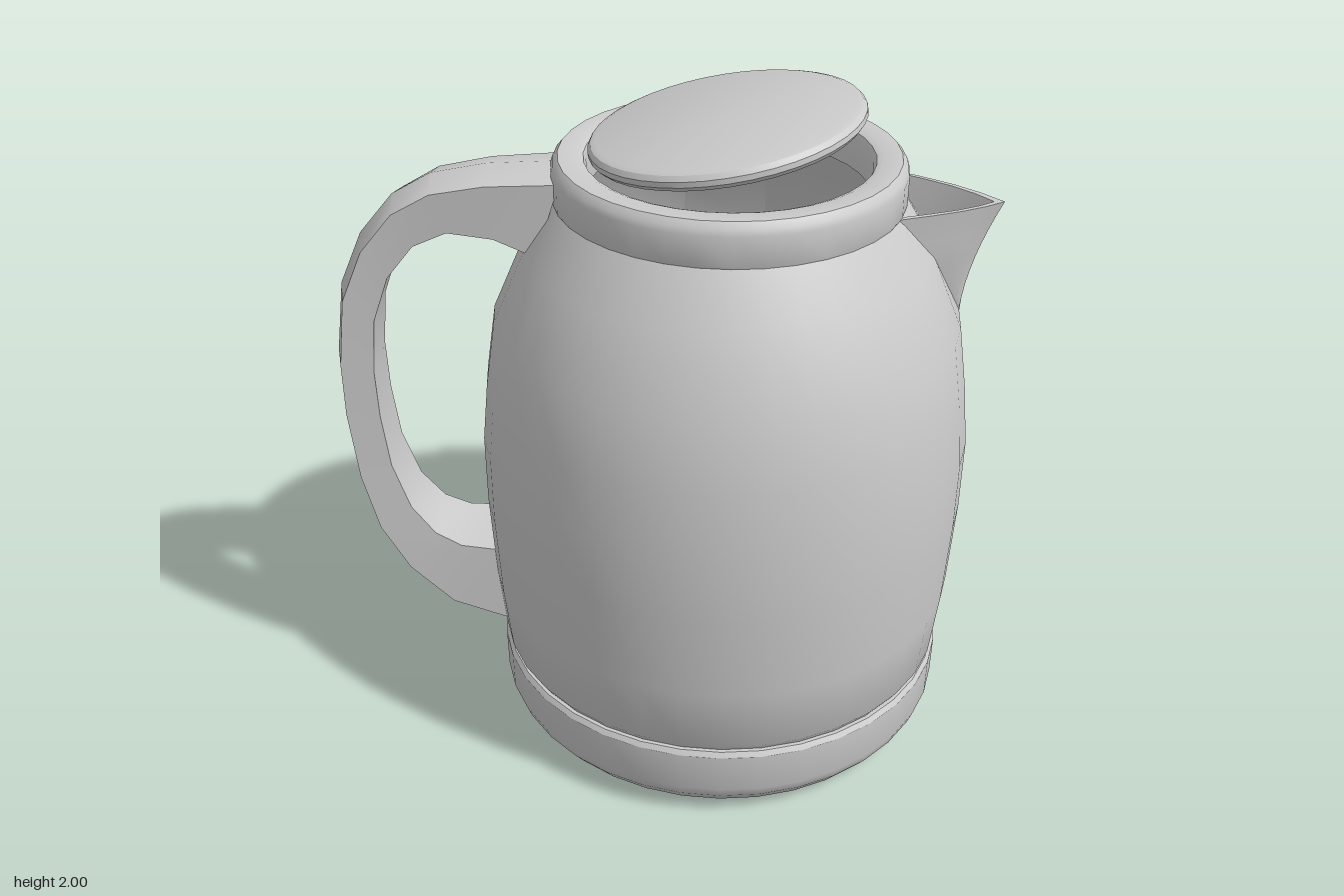
import * as THREE from 'three';
import { toCreasedNormals } from 'three/addons/utils/BufferGeometryUtils.js';

const CX = 0.19, CZ = 0.035; // axis of the kettle
const material = new THREE.MeshStandardMaterial({ color: 0xcccccc });
const doubleSided = new THREE.MeshStandardMaterial({ color: 0xcccccc, side: THREE.DoubleSide });

// outer wall as [radius, height]
const WALL = [[0.67, 0.245], [0.69, 0.275], [0.712, 0.48], [0.727, 0.75], [0.728, 0.97],
  [0.71, 1.15], [0.68, 1.35], [0.585, 1.57], [0.498, 1.71]];

// linear lookup of a value in [value, height] rows
function lookup(rows, y) {
  for (let i = 1; i < rows.length; i++) {
    const [r0, y0] = rows[i - 1], [r1, y1] = rows[i];
    if (y <= y1) return r0 + (r1 - r0) * (y - y0) / (y1 - y0);
  }
  return rows[rows.length - 1][0];
}

function mesh(name, geometry, mat = material, crease = 0.55) {
  const m = new THREE.Mesh(toCreasedNormals(geometry, crease), mat);
  m.name = name;
  return m;
}

function lathe(name, points, segments = 36) {
  return mesh(name, new THREE.LatheGeometry(points.map(p => new THREE.Vector2(...p)), segments));
}

// skin over a row of closed rings, capped at both ends and turned outwards
function loft(rings) {
  const n = rings[0].length, index = [], pos = rings.flat(2);
  for (let i = 0; i < rings.length - 1; i++)
    for (let j = 0; j < n; j++) {
      const a = i * n + j, b = i * n + (j + 1) % n;
      index.push(a, b, b + n, a, b + n, a + n);
    }
  const last = (rings.length - 1) * n;
  for (let j = 1; j < n - 1; j++)
    index.push(0, j + 1, j, last, last + j, last + j + 1);
  // signed volume decides the winding
  const v = k => new THREE.Vector3().fromArray(pos, 3 * k);
  let volume = 0;
  for (let k = 0; k < index.length; k += 3)
    volume += v(index[k]).dot(v(index[k + 1]).cross(v(index[k + 2])));
  if (volume < 0) index.reverse();
  const g = new THREE.BufferGeometry();
  g.setAttribute('position', new THREE.Float32BufferAttribute(pos, 3));
  g.setIndex(index);
  return g;
}

// handle: five-sided section between an outer and an inner outline
function handle() {
  // outer x, outer y, inner x, inner y, half width
  const stations = [
    [-0.27, 1.805, -0.35, 1.56, 0.125], [-0.49, 1.795, -0.47, 1.61, 0.115],
    [-0.65, 1.765, -0.60, 1.625, 0.108], [-0.765, 1.70, -0.70, 1.58, 0.103],
    [-0.865, 1.58, -0.78, 1.48, 0.1], [-0.935, 1.42, -0.83, 1.34, 0.1],
    [-0.965, 1.20, -0.845, 1.17, 0.1], [-0.965, 1.03, -0.84, 1.02, 0.1],
    [-0.94, 0.80, -0.82, 0.85, 0.102], [-0.89, 0.61, -0.77, 0.70, 0.107],
    [-0.80, 0.46, -0.70, 0.61, 0.115], [-0.66, 0.335, -0.62, 0.57, 0.125],
    [-0.45, 0.27, -0.47, 0.56, 0.138]];
  return mesh('handle', loft(stations.map(([ox, oy, ix, iy, w]) => {
    const l = 0.025 / Math.hypot(ix - ox, iy - oy);
    const sx = ox + (ix - ox) * l, sy = oy + (iy - oy) * l;
    return [[ox, oy, CZ], [sx, sy, CZ + w], [ix, iy, CZ + w * 0.95],
      [ix, iy, CZ - w * 0.95], [sx, sy, CZ - w]];
  })));
}

// spout: V-shaped shell that narrows down to a point on the wall
function spout() {
  const rows = 8, cols = 8, thick = 0.03;
  const point = (t, s, inner) => { // t runs down, s runs across from -1 to 1
    const y = 1.715 - 0.365 * t, half = 0.19 * (1 - t) * (inner ? 0.9 : 1);
    const r = lookup(WALL, y) - 0.01;
    const a = Math.abs(s), edge = CX + Math.sqrt(r * r - half * half);
    const tip = 0.87 + 0.097 * Math.pow(1 - t, 1.7) - (inner ? thick * (1 - t) : 0);
    const bulge = 0.035 * (1 - t) * Math.sin(Math.PI * a);
    return [tip + (edge - tip) * a + bulge, y - 0.022 * (1 - a) * (1 - t), CZ + half * s];
  };
  const pos = [], index = [];
  // one sheet runs up the inside, over the lip and down the outside
  for (let i = -rows; i <= rows + 1; i++) {
    const inner = i <= 0, t = (inner ? -i : i - 1) / rows;
    for (let j = 0; j <= cols; j++) pos.push(...point(t, 2 * j / cols - 1, inner));
  }
  for (let i = 0; i < 2 * rows + 1; i++)
    for (let j = 0; j < cols; j++) {
      const a = i * (cols + 1) + j, c = a + cols + 1;
      index.push(a, a + 1, c + 1, a, c + 1, c);
    }
  const g = new THREE.BufferGeometry();
  g.setAttribute('position', new THREE.Float32BufferAttribute(pos, 3));
  g.setIndex(index);
  return mesh('spout', g, doubleSided);
}

// rounded panel lying on the back wall and bending with it
function panel(name, y0, y1, half, depth, corner, bevel) {
  const ends = [0, 0.1, 0.3, 0.6, 1].map(k => k * corner);
  const ys = [...ends.map(e => y0 + e),
    ...WALL.map(p => p[1]).filter(y => y > y0 + corner && y < y1 - corner),
    ...ends.map(e => y1 - e).reverse()];
  return mesh(name, loft(ys.map(y => {
    const e = Math.min(y - y0, y1 - y), k = Math.max(0, 1 - e / corner);
    const w = half - corner * (1 - Math.sqrt(1 - k * k));
    const drop = bevel * Math.max(0, 1 - e / bevel);
    const z = CZ - lookup(WALL, y), top = z - depth + drop, low = z + 0.06;
    return [[CX - w, y, low], [CX - w, y, top + bevel], [CX - w + bevel * 0.3, y, top + bevel * 0.3],
      [CX - w + bevel, y, top], [CX + w - bevel, y, top],
      [CX + w - bevel * 0.3, y, top + bevel * 0.3], [CX + w, y, top + bevel], [CX + w, y, low]];
  })), material, 0.7);
}

export function createModel() {
  const kettle = new THREE.Group();
  kettle.name = 'kettle';

  // wall, collar and hollow inside in one profile
  const inside = WALL.slice(1).reverse().map(([r, y]) => [r - 0.04, y - 0.01]);
  const body = lathe('body', [...WALL, [0.5, 1.715], [0.5, 1.8], [0.495, 1.818], [0.48, 1.835],
    [0.425, 1.835], [0.408, 1.828], [0.4, 1.81], [0.4, 1.72], ...inside, [0, 0.265]]);
  const base = lathe('base', [[0, 0], [0.595, 0], [0.645, 0.03], [0.68, 0.075], [0.693, 0.11],
    [0.695, 0.235], [0.685, 0.25], [0, 0.25]]);
  for (const part of [body, base]) part.position.set(CX, 0, CZ);

  // lid resting half open
  const lid = lathe('lid', [[0, -0.028], [0.355, -0.028], [0.378, -0.022], [0.39, -0.008],
    [0.39, 0.008], [0.38, 0.022], [0.365, 0.028], [0, 0.028]], 40);
  lid.position.set(0.18, 1.907, CZ);
  lid.rotation.z = 0.171;

  kettle.add(base, body, lid, handle(), spout(),
    panel('gaugeFrame', 0.45, 1.545, 0.14, 0.038, 0.035, 0.02),
    panel('gaugeWindow', 0.5, 1.51, 0.088, 0.076, 0.03, 0.025));
  return kettle;
}
